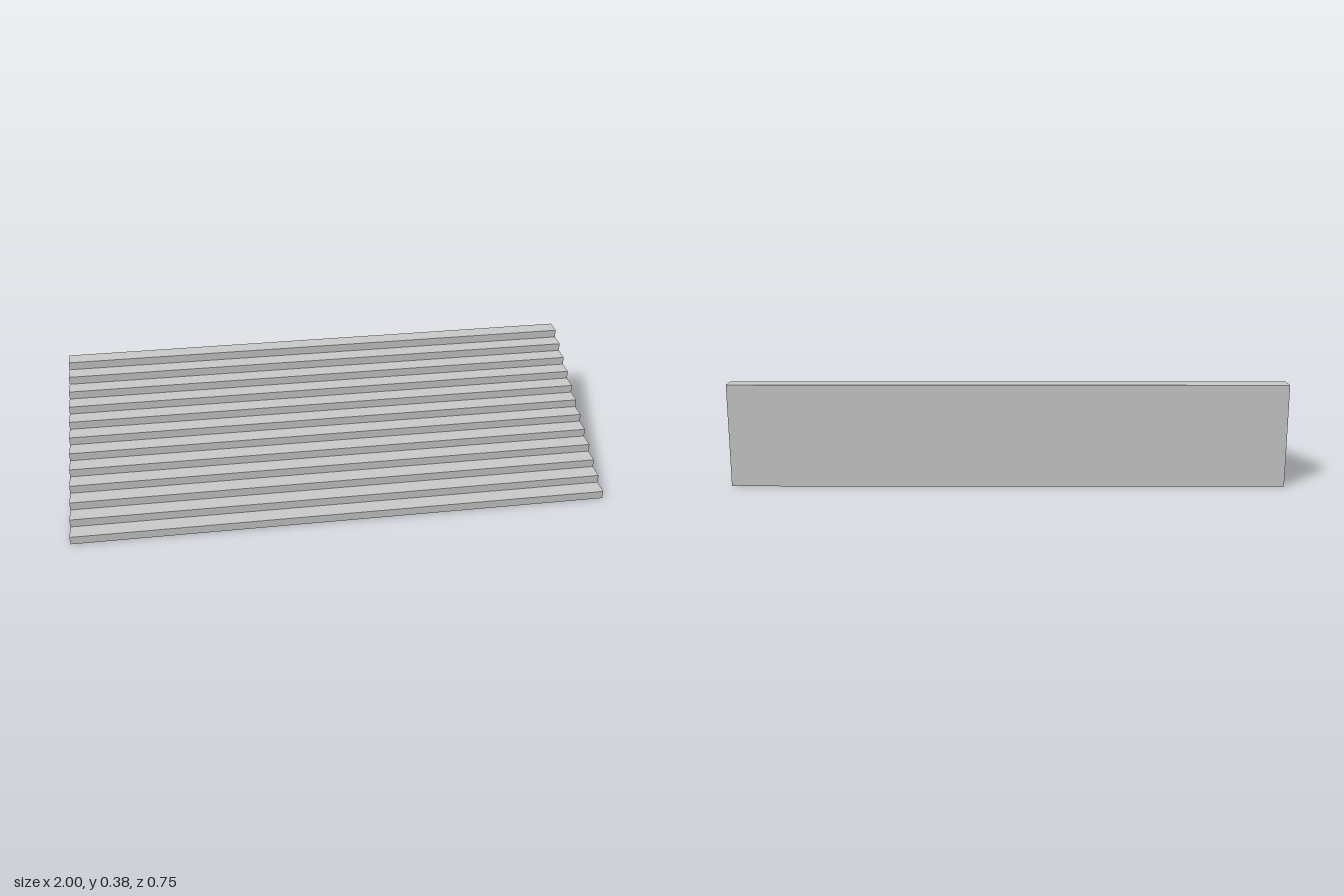
import * as THREE from 'three';

const STEPS = 12;
const WIDTH = 2;
const TREAD = 0.0625;
const RISE = 0.03125;

export function createModel() {
  const group = new THREE.Group();
  group.name = 'staircase';

  // Side profile: shape x becomes z, rising from the front edge to the back
  const front = (STEPS * TREAD) / 2;
  const profile = new THREE.Shape();
  profile.moveTo(-front, 0);
  profile.lineTo(front, 0);
  for (let i = 0; i < STEPS; i++) {
    const y = (i + 1) * RISE;
    profile.lineTo(front - i * TREAD, y); // riser
    profile.lineTo(front - (i + 1) * TREAD, y); // tread
  }
  profile.closePath();

  // Solid flight of steps, extruded across the full width
  const geometry = new THREE.ExtrudeGeometry(profile, { depth: WIDTH, bevelEnabled: false });
  geometry.translate(0, 0, -WIDTH / 2);
  geometry.rotateY(-Math.PI / 2);

  const steps = new THREE.Mesh(
    geometry,
    new THREE.MeshStandardMaterial({ color: 0xcccccc, flatShading: true })
  );
  steps.name = 'steps';
  group.add(steps);
  return group;
}
